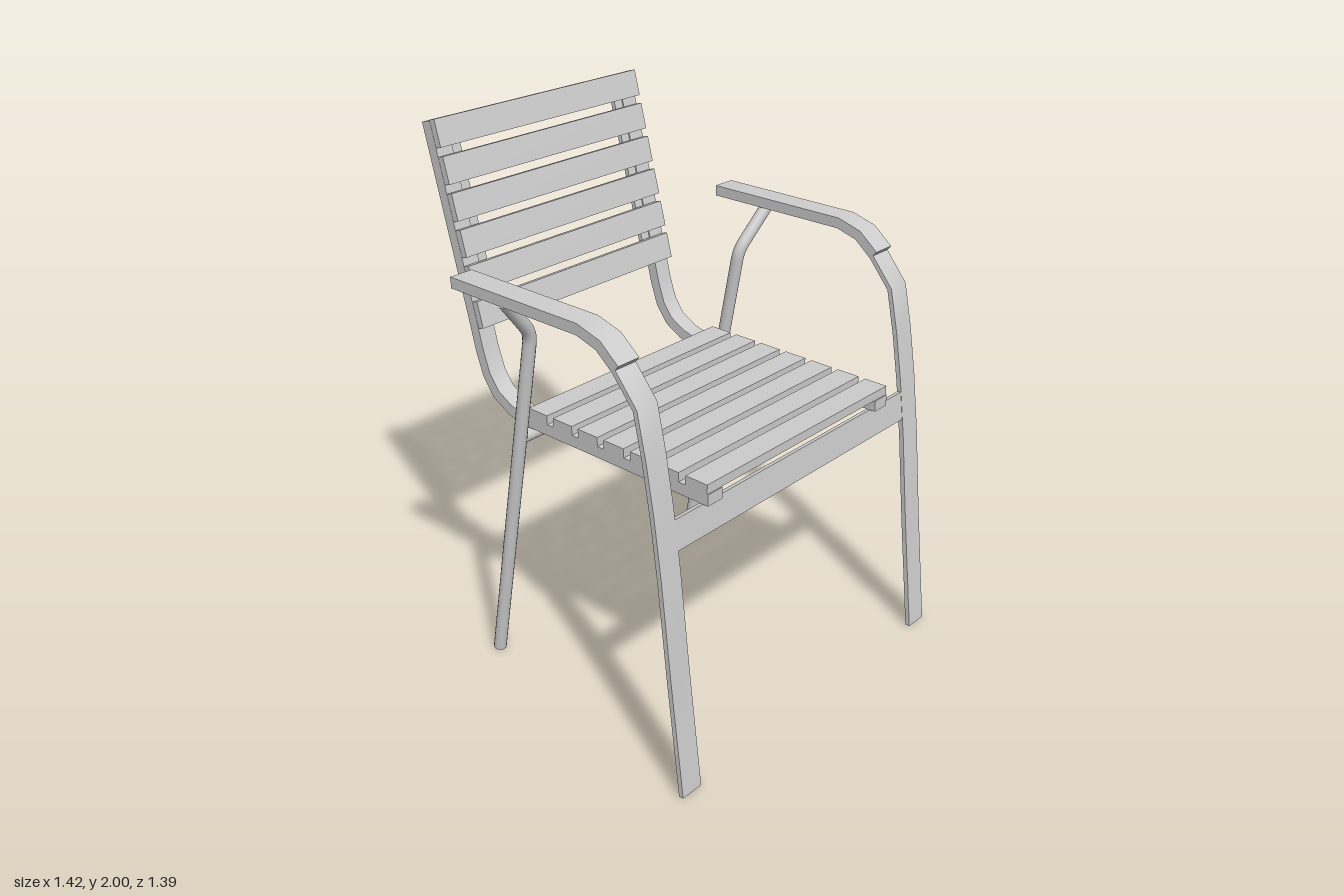
import * as THREE from 'three';
import { toCreasedNormals } from 'three/addons/utils/BufferGeometryUtils.js';

const mat = new THREE.MeshStandardMaterial({ color: 0xcccccc });

function add(parent, name, geometry) {
  const mesh = new THREE.Mesh(geometry, mat);
  mesh.name = name;
  parent.add(mesh);
  return mesh;
}

// Flat bar following a side path of [z, y] points, spanning offsets lo..hi
// from the path (positive = up / forward) and x0..x1 across.
function bar(path, lo, hi, x0, x1) {
  const p = path.map(([z, y]) => new THREE.Vector2(z, y));
  const normal = (a, b) => {
    const d = b.clone().sub(a).normalize();
    return new THREE.Vector2(d.y, -d.x);
  };
  const offset = (t) => p.map((v, i) => {
    const n1 = normal(p[Math.max(i - 1, 0)], p[Math.max(i, 1)]);
    const n2 = normal(p[Math.min(i, p.length - 2)], p[Math.min(i + 1, p.length - 1)]);
    const m = n1.clone().add(n2).normalize();
    return v.clone().addScaledVector(m, t / m.dot(n1));
  });
  const shape = new THREE.Shape([...offset(lo), ...offset(hi).reverse()]);
  const g = new THREE.ExtrudeGeometry(shape, { depth: x1 - x0, bevelEnabled: false });
  g.rotateY(-Math.PI / 2);
  g.translate(x1, 0, 0);
  return toCreasedNormals(g, 0.6);
}

export function createModel() {
  const chair = new THREE.Group();
  chair.name = 'slattedArmchair';

  // Side paths, as [z, y]
  const legPath = [[0.687, 0.002], [0.632, 0.45], [0.593, 0.8], [0.563, 1.02], [0.532, 1.2],
    [0.497, 1.36], [0.412, 1.462], [0.342, 1.52], [0.255, 1.545], [-0.325, 1.545]];
  const railPath = [[0.6, 1.0], [-0.26, 1.0], [-0.32, 1.016], [-0.39, 1.055], [-0.435, 1.115],
    [-0.465, 1.2], [-0.495, 1.32], [-0.673, 1.985]];

  for (const s of [-1, 1]) {
    const side = new THREE.Group();
    side.name = s > 0 ? 'leftSide' : 'rightSide';
    chair.add(side);
    const span = (a, b) => (s > 0 ? [a, b] : [-b, -a]);

    // Bent front leg running into the armrest, with a pad on top
    add(side, 'frontLegAndArm', bar(legPath, -0.009, 0.009, ...span(0.62, 0.71)));
    add(side, 'armrestPad', bar(legPath.slice(6), 0.009, 0.031, ...span(0.619, 0.711)));

    // Rail under the seat that sweeps up behind the backrest
    add(side, 'seatAndBackRail', bar(railPath, -0.021, 0.021, ...span(0.42, 0.49)));
    add(side, 'backInnerStrip', bar([[-0.487, 1.29], [-0.667, 1.965]], -0.002, 0.016, ...span(0.38, 0.42)));

    // Round rear leg, bent outward to meet the armrest
    const foot = new THREE.Vector3(s * 0.54, 0.005, -0.392);
    const a = new THREE.Vector3(s * 0.54, 1.34, -0.146);
    const bend = new THREE.Vector3(s * 0.54, 1.38, -0.139);
    const b = new THREE.Vector3(s * 0.567, 1.41, -0.133);
    const top = new THREE.Vector3(s * 0.673, 1.535, -0.11);
    const path = new THREE.CurvePath();
    path.add(new THREE.LineCurve3(foot, a));
    path.add(new THREE.QuadraticBezierCurve3(a, bend, b));
    path.add(new THREE.LineCurve3(b, top));
    add(side, 'rearLeg', new THREE.TubeGeometry(path, 60, 0.024, 16));
    const cap = add(side, 'rearLegFoot', new THREE.CircleGeometry(0.024, 16));
    cap.position.copy(foot);
    cap.lookAt(foot.clone().multiplyScalar(2).sub(a));
  }

  // Crossbars joining the two sides
  add(chair, 'frontCrossbar', bar([[0.583, 0.87], [0.569, 0.977]], -0.008, 0.008, -0.63, 0.63));
  const rear = add(chair, 'rearCrossbar', new THREE.CylinderGeometry(0.023, 0.023, 1.08, 16));
  rear.rotation.z = Math.PI / 2;
  rear.position.set(0, 0.953, -0.225);

  // Seat slats
  for (let i = 0; i < 7; i++) {
    const slat = add(chair, 'seatSlat', new THREE.BoxGeometry(0.98, 0.034, 0.092));
    slat.position.set(0, 1.038, 0.55 - i * 0.121);
  }

  // Back slats, leaning back
  for (let i = 0; i < 6; i++) {
    const y = 1.335 + i * 0.123;
    const slat = add(chair, 'backSlat', new THREE.BoxGeometry(0.98, 0.097, 0.025));
    slat.position.set(0, y, -0.463 - (y - 1.335) * 0.268);
    slat.rotation.x = -0.262;
  }

  // Strip behind the top slat, between the rails
  add(chair, 'backTopStrip', bar([[-0.656, 1.925], [-0.667, 1.965]], -0.002, 0.016, -0.38, 0.38));

  return chair;
}
